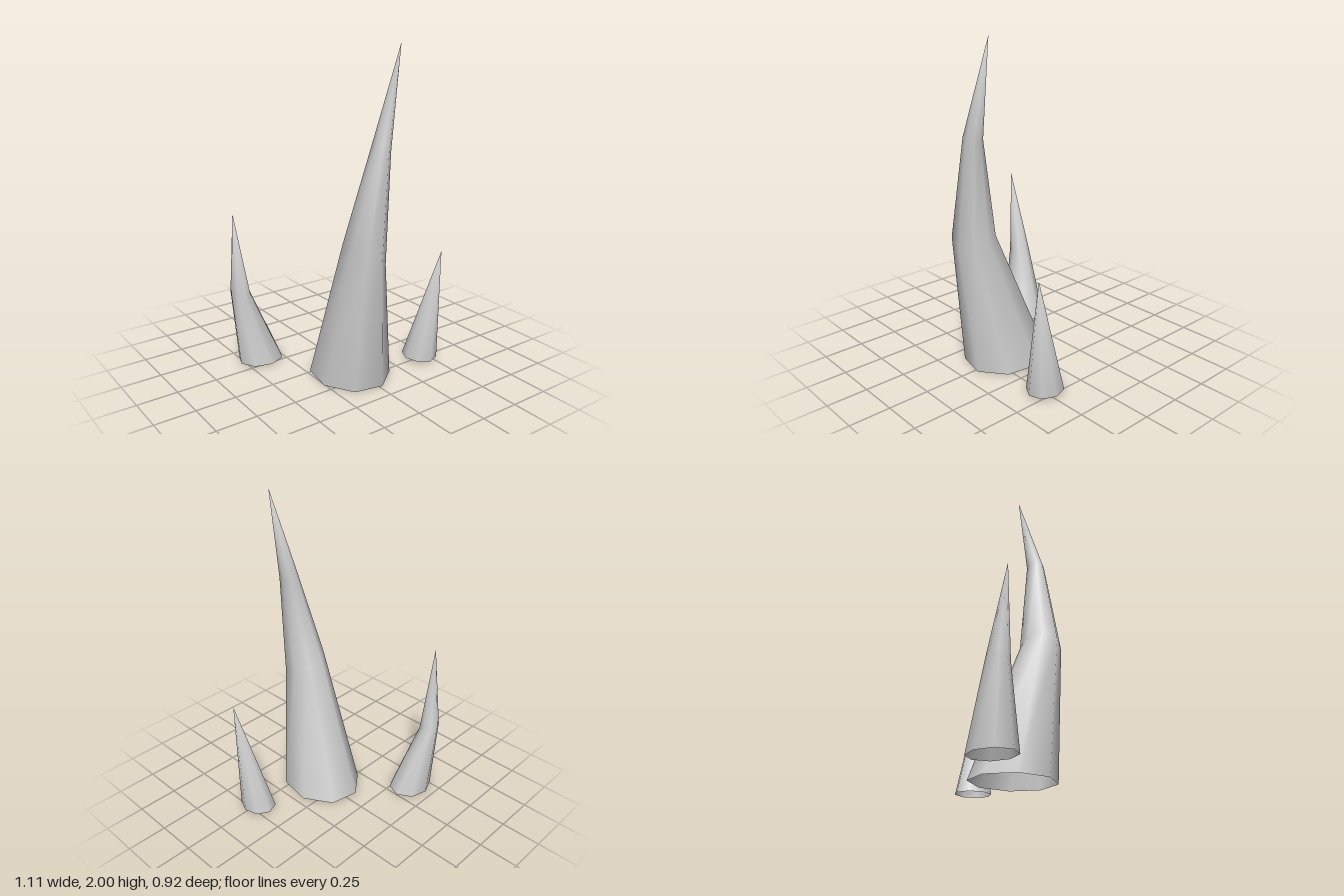
import * as THREE from 'three';

const SIDES = 8;

// Open-bottomed spike: elliptical rings lofted up to a single tip point.
// Ring: centre c, radii rx / rz, and optional tilt (rise per unit of x and z).
function spikeGeometry(rings, tip, phaseDeg) {
  const positions = [];
  const index = [];
  for (const { c, rx, rz, tilt = [0, 0] } of rings) {
    for (let i = 0; i < SIDES; i++) {
      const a = THREE.MathUtils.degToRad(phaseDeg) + (i / SIDES) * Math.PI * 2;
      const dx = rx * Math.cos(a);
      const dz = rz * Math.sin(a);
      positions.push(c[0] + dx, c[1] + dx * tilt[0] + dz * tilt[1], c[2] + dz);
    }
  }
  positions.push(...tip);
  const tipIndex = rings.length * SIDES;
  rings.forEach((_, r) => {
    for (let i = 0; i < SIDES; i++) {
      const a = r * SIDES + i;
      const b = r * SIDES + ((i + 1) % SIDES);
      if (r === rings.length - 1) index.push(a, tipIndex, b);
      else index.push(a, a + SIDES, b, b, a + SIDES, b + SIDES);
    }
  });
  const geometry = new THREE.BufferGeometry();
  geometry.setAttribute('position', new THREE.Float32BufferAttribute(positions, 3));
  geometry.setIndex(index);
  geometry.computeVertexNormals();
  return geometry;
}

export function createModel() {
  const group = new THREE.Group();
  group.name = 'spikes';
  const stone = new THREE.MeshStandardMaterial({ color: 0xcccccc, side: THREE.DoubleSide });
  stone.name = 'light grey';

  const add = (name, rings, tip, phase) => {
    const mesh = new THREE.Mesh(spikeGeometry(rings, tip, phase), stone);
    mesh.name = name;
    group.add(mesh);
  };

  // Tall spike, leaning forward and curling to its left at the tip
  add('tallSpike', [
    { c: [-0.027, 0, 0.133], rx: 0.235, rz: 0.27 },
    { c: [-0.075, 0.83, 0.33], rx: 0.118, rz: 0.134, tilt: [-0.43, -0.2] },
    { c: [-0.002, 1.435, 0.378], rx: 0.053, rz: 0.058, tilt: [-0.3, 0] },
  ], [0.135, 2, 0.368], -12);

  // Medium spike behind, with one bend
  add('mediumSpike', [
    { c: [-0.39, 0.01, -0.336], rx: 0.146, rz: 0.126 },
    { c: [-0.492, 0.46, -0.385], rx: 0.064, rz: 0.061, tilt: [0, -0.33] },
  ], [-0.54, 0.99, -0.357], -4);

  // Small straight spike
  add('smallSpike', [
    { c: [0.449, 0.018, 0.24], rx: 0.103, rz: 0.118 },
  ], [0.508, 0.74, 0.349], 4);

  return group;
}
